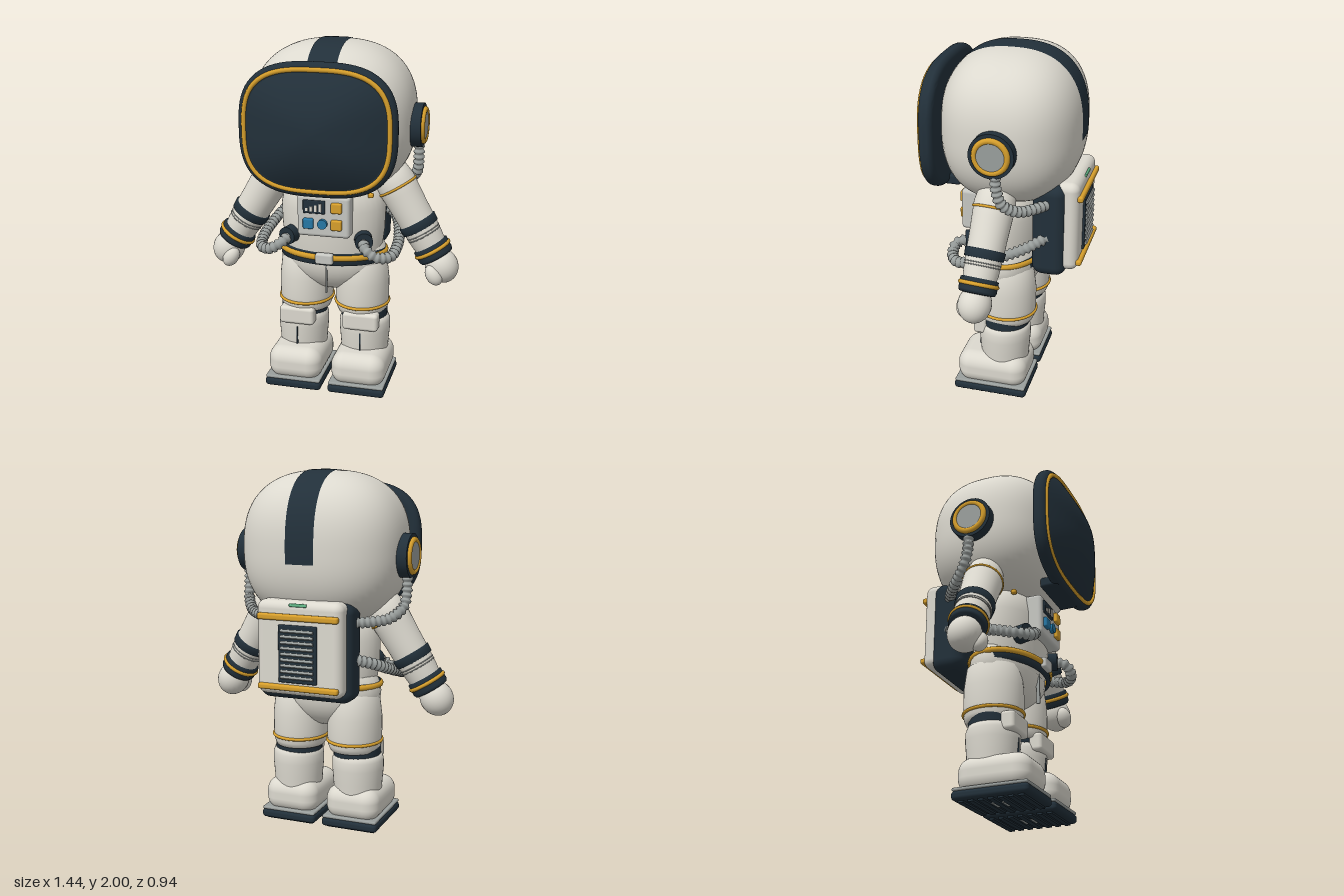
import * as THREE from 'three';
import { mergeVertices, toCreasedNormals } from 'three/addons/utils/BufferGeometryUtils.js';
import { RoundedBoxGeometry } from 'three/addons/geometries/RoundedBoxGeometry.js';

const mat = (name, color) => {
  const m = new THREE.MeshStandardMaterial({ color });
  m.name = name;
  return m;
};
const V = (x, y, z) => new THREE.Vector3(x, y, z);

export function createModel() {
  const white = mat('suit white', 0xdcd9cf), navy = mat('dark navy', 0x22303a), gold = mat('gold trim', 0xd8a02c);
  const grey = mat('hose grey', 0x9a9f9d), panelGrey = mat('panel grey', 0xc6c7c2);
  const blue = mat('button blue', 0x2678a6), green = mat('light green', 0x66bd8c);
  const model = new THREE.Group();
  model.name = 'astronaut';

  // Helpers
  const add = (name, geo, m, x = 0, y = 0, z = 0, parent = model) => {
    const mesh = new THREE.Mesh(geo, m);
    mesh.name = name;
    mesh.position.set(x, y, z);
    parent.add(mesh);
    return mesh;
  };
  const box = (w, h, d) => new THREE.BoxGeometry(w, h, d);
  const rbox = (w, h, d, r) => new RoundedBoxGeometry(w, h, d, 4, r);
  const cyl = (r, h, seg = 32) => new THREE.CylinderGeometry(r, r, h, seg);
  const ring = (r, tube) => new THREE.TorusGeometry(r, tube, 10, 48).rotateX(Math.PI / 2);
  const ball = (a, b, c) => new THREE.SphereGeometry(1, 28, 20).scale(a, b, c);
  const lathe = pts => new THREE.LatheGeometry(pts.map(p => new THREE.Vector2(p[0], p[1])), 40);
  const spow = (v, p) => Math.sign(v) * Math.abs(v) ** p;
  const smooth = g => {
    g.deleteAttribute('uv');
    g.deleteAttribute('normal');
    const out = mergeVertices(g, 1e-5);
    out.computeVertexNormals();
    return out;
  };
  const reshape = (g, rule) => {
    const p = g.attributes.position;
    for (let i = 0; i < p.count; i++) {
      const v = rule(V(p.getX(i), p.getY(i), p.getZ(i)), i);
      p.setXYZ(i, v.x, v.y, v.z);
    }
    return smooth(g);
  };
  const ribbedHose = (pts, r, ribs) => {
    const curve = new THREE.CatmullRomCurve3(pts), n = ribs * 4, sides = 12;
    return reshape(new THREE.TubeGeometry(curve, n, r, sides), (v, i) => {
      const k = Math.floor(i / (sides + 1));
      const c = curve.getPointAt(k / n);
      return v.sub(c).multiplyScalar(k % 4 < 2 ? 1 : 0.74).add(c);
    });
  };

  // Helmet shell: a squarish ellipsoid
  const A = 0.45, B = 0.418, C = 0.38, N = 2.5, CY = 1.58, CZ = -0.03;
  add('helmet', reshape(new THREE.SphereGeometry(1, 72, 48), v => {
    const k = (Math.abs(v.x / A) ** N + Math.abs(v.y / B) ** N + Math.abs(v.z / C) ** N) ** (-1 / N);
    return v.multiplyScalar(k);
  }), white, 0, CY, CZ);

  // Stripe over the helmet, following its surface
  add('helmetStripe', reshape(new THREE.PlaneGeometry(1, 1, 4, 60), v => {
    const x = v.x * 0.16, a = 0.84 + (v.y + 0.5) * (Math.PI + 0.09 - 0.84);
    const r = 1.008 * (1 - Math.abs(x / A) ** N) ** (1 / N);
    return V(x, B * r * spow(Math.sin(a), 2 / N), C * r * spow(Math.cos(a), 2 / N));
  }), navy, 0, CY, CZ);

  // Visor: rounded frame, gold trim and domed glass
  const outline = (w, h, t, e = 3) => V(w * spow(Math.cos(t), 2 / e), h * spow(Math.sin(t), 2 / e), 0);
  const loop = (w, h) => Array.from({ length: 72 }, (_, i) => outline(w, h, i / 72 * Math.PI * 2));
  const frame = new THREE.ExtrudeGeometry(new THREE.Shape(loop(0.387, 0.319)), {
    depth: 0.01, bevelThickness: 0.035, bevelSize: 0.038, bevelSegments: 6
  });
  add('visorFrame', toCreasedNormals(frame, 0.6), navy, 0, 1.575, 0.34);
  add('visorTrim', new THREE.TubeGeometry(new THREE.CatmullRomCurve3(loop(0.388, 0.32), true), 144, 0.014, 8, true),
    gold, 0, 1.575, 0.38);
  add('visorGlass', reshape(new THREE.RingGeometry(0, 1, 72, 14), v => {
    const rho = Math.hypot(v.x, v.y);
    const p = outline(0.385 * rho, 0.317 * rho, Math.atan2(v.y, v.x));
    return p.setZ(0.108 * (1 - rho * rho));
  }), navy, 0, 1.575, 0.377);
  add('chinBlock', rbox(0.32, 0.06, 0.11, 0.015), navy, 0, 1.25, 0.3);
  add('chinKnob', ball(0.013, 0.013, 0.013), gold, -0.08, 1.25, 0.36);
  add('chinLight', ball(0.013, 0.013, 0.013), green, 0.075, 1.25, 0.36);

  // Torso, belt and hips
  add('torso', lathe([[0.26, 0.76], [0.28, 0.83], [0.295, 0.95], [0.3, 1.08], [0.28, 1.18], [0.2, 1.25], [0, 1.28]]),
    white).scale.z = 0.66;
  add('hips', ball(0.312, 0.215, 0.185), white, 0, 0.785, -0.015);
  add('belt', lathe([[0.27, 0.775], [0.303, 0.778], [0.303, 0.84], [0.27, 0.843]]), navy).scale.z = 0.68;
  add('beltTrim', ring(0.3, 0.017), gold, 0, 0.823).scale.z = 0.69;
  add('buckle', rbox(0.1, 0.062, 0.04, 0.012), panelGrey, 0, 0.82, 0.212);
  add('frontSeam', box(0.008, 0.18, 0.02), grey, 0, 0.69, 0.165);

  // Chest control panel
  add('chestPanel', rbox(0.295, 0.235, 0.1, 0.02), panelGrey, 0.002, 1.073, 0.195);
  add('screen', rbox(0.125, 0.075, 0.015, 0.006), navy, -0.048, 1.128, 0.247);
  for (let i = 0; i < 4; i++) {
    const h = 0.018 + i * 0.009;
    add('screenBar', box(0.014, h, 0.004), white, -0.087 + i * 0.025, 1.104 + h / 2, 0.256);
  }
  for (const y of [1.13, 1.033]) add('goldButton', rbox(0.06, 0.058, 0.03, 0.008), gold, 0.078, y, 0.25);
  add('blueButton', rbox(0.058, 0.058, 0.03, 0.008), blue, -0.08, 1.033, 0.25);
  add('roundButton', cyl(0.027, 0.03, 24).rotateX(Math.PI / 2), blue, 0, 1.035, 0.25);

  // Backpack body, vent and rails
  add('backpackBase', rbox(0.54, 0.54, 0.19, 0.06), navy, 0, 1.05, -0.275);
  add('backpackShell', rbox(0.49, 0.51, 0.13, 0.045), white, 0, 1.075, -0.368);
  add('vent', rbox(0.22, 0.31, 0.02, 0.008), navy, 0, 1.05, -0.435);
  for (let i = 0; i < 9; i++) {
    add('louver', box(0.185, 0.014, 0.02), grey, 0, 0.925 + i * 0.031, -0.447).rotation.x = 0.5;
  }
  add('statusLight', rbox(0.1, 0.018, 0.012, 0.005), green, 0, 1.31, -0.43);
  for (const [y, h] of [[1.245, 0.035], [0.868, 0.032]]) {
    add('packRail', rbox(0.46, h, 0.035, 0.012), gold, 0, y, -0.437);
  }

  for (const s of [1, -1]) {
    // Earpiece and its hose to the backpack
    const ear = new THREE.Group();
    ear.name = 'earpiece';
    ear.position.set(s * 0.45, 1.55, -0.03);
    ear.rotation.z = -s * Math.PI / 2;
    model.add(ear);
    add('earBase', cyl(0.12, 0.11, 40), navy, 0, -0.01, 0, ear);
    add('earTrim', ring(0.086, 0.016), gold, 0, 0.048, 0, ear);
    add('earDisc', cyl(0.08, 0.02), grey, 0, 0.048, 0, ear);
    add('earHose', ribbedHose([V(s * 0.47, 1.46, -0.045), V(s * 0.47, 1.36, -0.05), V(s * 0.46, 1.28, -0.075),
      V(s * 0.41, 1.225, -0.14), V(s * 0.32, 1.21, -0.22), V(s * 0.24, 1.21, -0.27)], 0.031, 17), grey);

    // Chest hose, from front socket around the waist to the backpack
    const socket = add('hoseSocket', cyl(0.05, 0.07), navy, s * 0.21, 0.93, 0.165);
    socket.rotation.set(Math.PI / 2, 0, -s * 0.3);
    add('chestHose', ribbedHose([V(s * 0.21, 0.93, 0.18), V(s * 0.24, 0.905, 0.245), V(s * 0.3, 0.868, 0.25),
      V(s * 0.365, 0.86, 0.2), V(s * 0.385, 0.885, 0.1), V(s * 0.37, 0.93, -0.05), V(s * 0.33, 0.975, -0.17),
      V(s * 0.25, 1.01, -0.26)], 0.032, 25), grey);
    add('harnessBuckle', rbox(0.03, 0.025, 0.03, 0.008), gold, s * 0.24, 1.178, 0.125);

    // Arm hangs outward from the shoulder
    const arm = new THREE.Group();
    arm.name = 'arm';
    arm.position.set(s * 0.335, 1.25, -0.01);
    arm.rotation.set(-0.07, 0, s * 0.545);
    model.add(arm);
    add('sleeve', lathe([[0.08, -0.48], [0.094, -0.4], [0.1, -0.3], [0.103, -0.2], [0.108, -0.1], [0.112, -0.03],
      [0.1, 0.04], [0.06, 0.085], [0, 0.1]]), white, 0, 0, 0, arm);
    add('shoulderTrim', ring(0.11, 0.007), gold, 0, -0.055, 0, arm);
    add('elbowBand', lathe([[0.09, -0.325], [0.106, -0.32], [0.109, -0.275], [0.095, -0.27]]), navy, 0, 0, 0, arm);
    for (const y of [-0.345, -0.36]) add('sleeveSeam', ring(0.097, 0.003), grey, 0, y, 0, arm);
    add('cuff', lathe([[0.06, -0.51], [0.095, -0.505], [0.102, -0.49], [0.102, -0.43], [0.085, -0.422]]),
      navy, 0, 0, 0, arm);
    add('cuffTrim', ring(0.099, 0.011), gold, 0, -0.457, 0, arm);
    add('hand', ball(0.092, 0.1, 0.09), white, 0, -0.562, 0, arm);
    add('thumb', ball(0.045, 0.062, 0.045), white, -s * 0.05, -0.58, 0.062, arm);

    // Leg
    add('thigh', lathe([[0.1, 0.436], [0.138, 0.446], [0.15, 0.475], [0.154, 0.53], [0.154, 0.64], [0.14, 0.76],
      [0.1, 0.8]]), white, s * 0.166, 0, -0.025).scale.z = 1.07;
    add('thighTrim', ring(0.153, 0.009), gold, s * 0.166, 0.502, -0.025).scale.z = 1.07;
    add('kneeJoint', cyl(0.134, 0.07), navy, s * 0.18, 0.435, -0.02);
    add('shin', lathe([[0.135, 0.18], [0.14, 0.26], [0.147, 0.34], [0.146, 0.39], [0.135, 0.42], [0.1, 0.43]]),
      white, s * 0.184, 0, -0.018);
    add('kneePad', rbox(0.205, 0.105, 0.08, 0.02), white, s * 0.187, 0.422, 0.105);
    add('shinSeam', box(0.008, 0.11, 0.015), navy, s * 0.187, 0.295, 0.124);

    // Boot, welt, sole and tread
    add('boot', rbox(0.316, 0.195, 0.405, 0.08), white, s * 0.186, 0.145, 0.034);
    add('welt', rbox(0.322, 0.018, 0.415, 0.008), grey, s * 0.186, 0.067, 0.034);
    add('sole', rbox(0.33, 0.05, 0.425, 0.02), navy, s * 0.186, 0.035, 0.034);
    for (let i = 0; i < 7; i++) {
      add('tread', box(0.28, 0.016, 0.03), navy, s * 0.186, 0.008, -0.131 + i * 0.055);
    }
    for (const z of [0.006, 0.062]) add('soleInset', box(0.08, 0.006, 0.02), grey, s * 0.186, 0.008, z);
  }
  return model;
}
